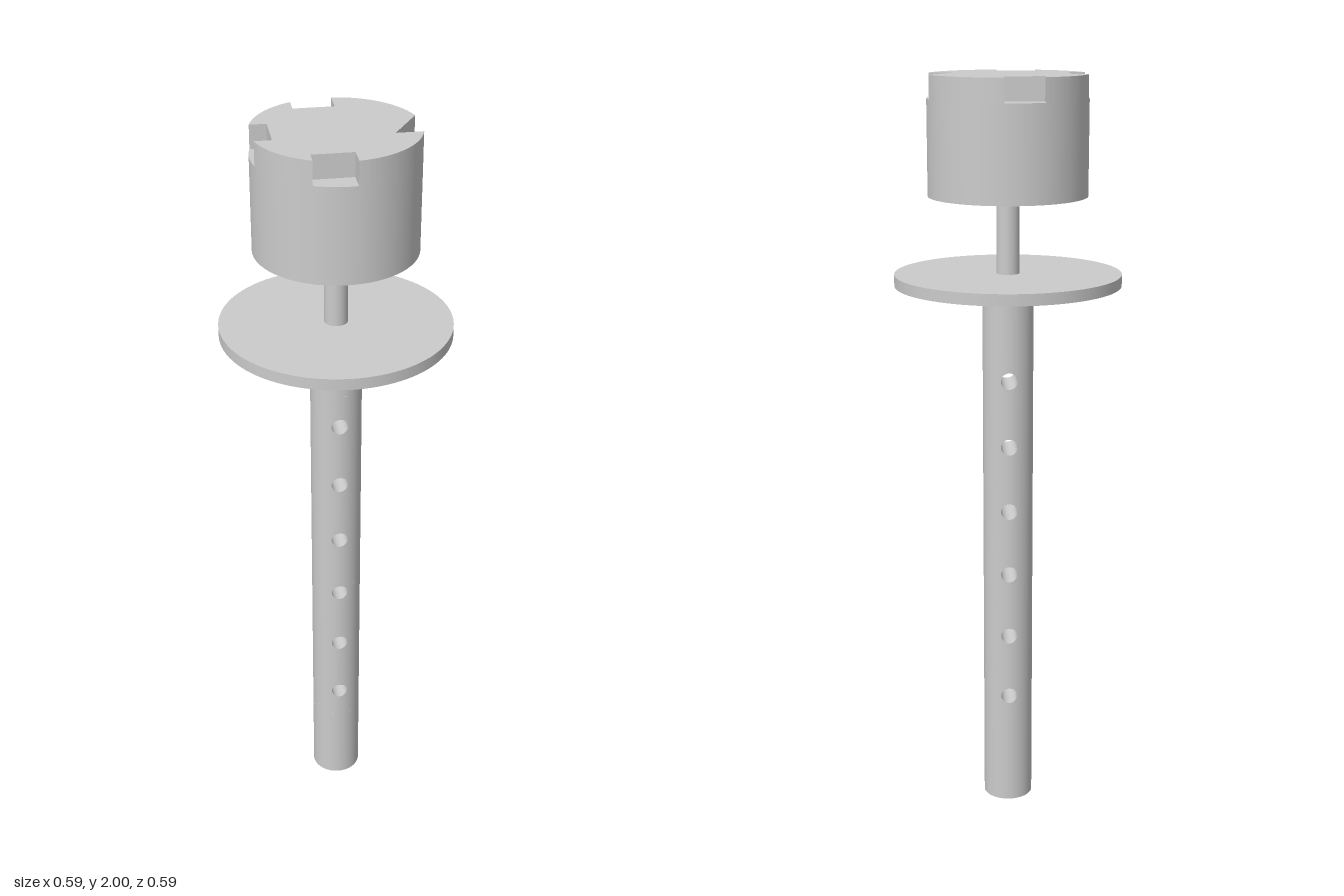
import * as THREE from 'three';
import { toCreasedNormals } from 'three/addons/utils/BufferGeometryUtils.js';
import { ParametricGeometry } from 'three/addons/geometries/ParametricGeometry.js';

const grey = new THREE.MeshStandardMaterial({ color: 0xcccccc });

function add(parent, name, geometry, y = 0) {
  const mesh = new THREE.Mesh(geometry, grey);
  mesh.name = name;
  mesh.position.y = y;
  parent.add(mesh);
  return mesh;
}

// Upright cylinder between two heights
function column(parent, name, r, y0, y1, open = false, start = 0, length = Math.PI * 2, segments = 64) {
  return add(parent, name,
    new THREE.CylinderGeometry(r, r, y1 - y0, segments, 1, open, start, length), (y0 + y1) / 2);
}

// Round shaft pierced front to back by a row of cross holes
function createShaft() {
  const shaft = new THREE.Group();
  shaft.name = 'shaft';
  const R = 0.067, hole = 0.022, w = 0.04, pitch = 0.18, first = 0.32, count = 6, top = 1.465;
  const h = pitch / 2, low = first - h, high = low + count * pitch;
  const depth = x => Math.sqrt(R * R - x * x);

  column(shaft, 'shaftFoot', R, 0, low, true);
  column(shaft, 'shaftNeck', R, high, top, true);
  add(shaft, 'shaftEnd', new THREE.CircleGeometry(R, 64).rotateX(Math.PI / 2));

  // Plain walls left and right of the holes
  const t = Math.asin(w / R);
  for (const start of [t, t + Math.PI]) {
    column(shaft, 'shaftSide', R, low, high, true, start, Math.PI - 2 * t, 24);
  }

  // Curved panel from the hole rim out to a rectangle
  const panel = side => new ParametricGeometry((u, v, p) => {
    const a = -2 * Math.PI * u, c = Math.cos(a), s = Math.sin(a);
    const m = Math.max(Math.abs(c), Math.abs(s));
    const x = THREE.MathUtils.lerp(hole * c, w * c / m, v);
    const y = THREE.MathUtils.lerp(hole * s, h * s / m, v);
    p.set(side * x, y, side * depth(x));
  }, 48, 5);

  // Wall of the hole, facing its axis
  const bore = new ParametricGeometry((u, v, p) => {
    const a = -2 * Math.PI * u, x = hole * Math.cos(a);
    p.set(x, hole * Math.sin(a), (2 * v - 1) * depth(x));
  }, 48, 1);

  const front = panel(1), back = panel(-1);
  for (let i = 0; i < count; i++) {
    const y = first + i * pitch;
    add(shaft, 'holePanelFront', front, y);
    add(shaft, 'holePanelBack', back, y);
    add(shaft, 'holeBore', bore, y);
  }
  return shaft;
}

// Drum head with four notches cut into its top rim
function createHead() {
  const head = new THREE.Group();
  head.name = 'head';
  const R = 0.206, bottom = 1.695, floor = 1.94, top = 2;
  const xa = -0.083, xb = 0.02, ya = -0.052, yb = 0.053;
  column(head, 'drum', R, bottom, floor, false, 0, Math.PI * 2, 96);

  const full = Math.PI * 2;
  const outline = new THREE.Shape();
  const arc = (a, b) => outline.absarc(0, 0, R, a, b, false);
  outline.moveTo(0.132, yb);
  arc(Math.asin(yb / R), Math.acos(xb / R));
  outline.lineTo(xb, 0.143);
  outline.lineTo(xa, 0.143);
  arc(Math.acos(xa / R), Math.PI - Math.asin(yb / R));
  outline.lineTo(-0.157, yb);
  outline.lineTo(-0.157, ya);
  arc(Math.PI - Math.asin(ya / R), full - Math.acos(xa / R));
  outline.lineTo(xa, -0.153);
  outline.lineTo(xb, -0.153);
  arc(full - Math.acos(xb / R), full + Math.asin(ya / R));
  outline.lineTo(0.132, ya);

  const crown = new THREE.ExtrudeGeometry(outline, { depth: top - floor, bevelEnabled: false, curveSegments: 20 });
  crown.rotateX(-Math.PI / 2);
  add(head, 'notchedCrown', toCreasedNormals(crown, 0.5), floor);
  return head;
}

export function createModel() {
  const model = new THREE.Group();
  model.name = 'notchedPlunger';
  model.add(createShaft());
  column(model, 'flange', 0.296, 1.465, 1.495, false, 0, Math.PI * 2, 96);
  column(model, 'stem', 0.03, 1.495, 1.695, true, 0, Math.PI * 2, 32);
  model.add(createHead());
  return model;
}
